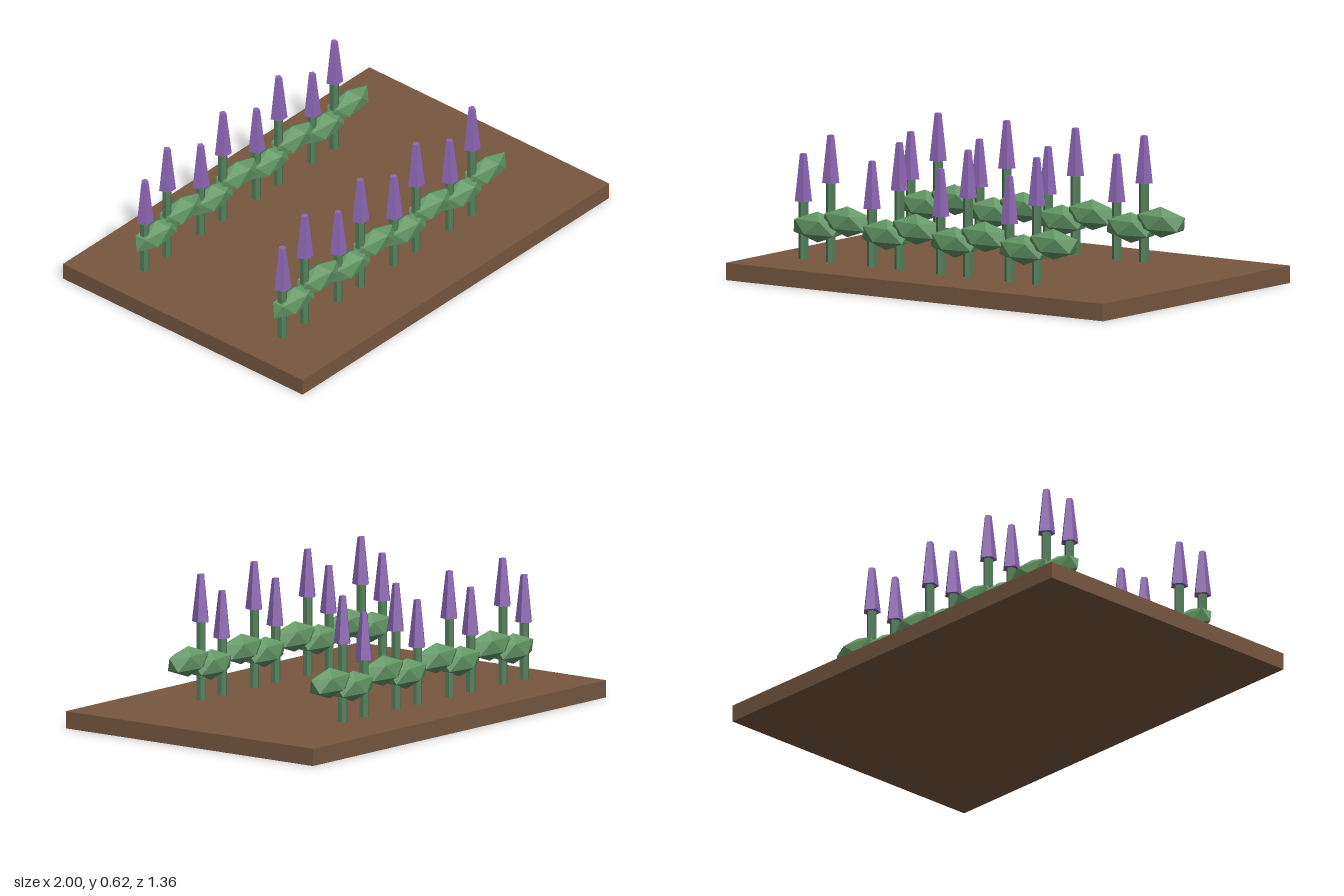
import * as THREE from 'three';

const material = (color) => new THREE.MeshStandardMaterial({ color, flatShading: true });

// Icosahedron standing on one corner, so its ends slope the same way on every leaf clump
function leafGeometry() {
  const g = new THREE.IcosahedronGeometry(1, 0);
  g.rotateZ(-Math.atan(2 / (1 + Math.sqrt(5))));
  g.scale(0.142, 0.067, 0.053);
  g.computeVertexNormals();
  return g;
}

export function createModel() {
  const model = new THREE.Group();
  model.name = 'flowerBed';

  const soil = material(0x785840);
  const stemGreen = material(0x54805a);
  const leafGreen = material(0x649866);
  const purple = material(0x8c66b4);

  const baseTop = 0.075;
  const leaves = leafGeometry();
  const blossom = new THREE.CylinderGeometry(0.016, 0.039, 0.205, 5).rotateY(Math.PI);

  function add(parent, name, geometry, mat, x, y, z) {
    const mesh = new THREE.Mesh(geometry, mat);
    mesh.name = name;
    mesh.position.set(x, y, z);
    parent.add(mesh);
  }

  // Soil slab
  add(model, 'soilBed', new THREE.BoxGeometry(2, baseTop, 1.36), soil, 0, baseTop / 2, 0);

  // A short and a tall plant make a pair
  const plants = [
    { name: 'shortPlant', x: -0.8, stemTop: 0.325, leafX: 0.075, leafY: 0.219 },
    { name: 'tallPlant', x: -0.655, stemTop: 0.418, leafX: 0.089, leafY: 0.256 },
  ].map((p) => ({
    ...p,
    stem: new THREE.CylinderGeometry(0.021, 0.021, p.stemTop - baseTop + 0.01, 6).rotateY(Math.PI),
  }));

  // Two rows of four pairs
  for (const z of [0.39, -0.39]) {
    const row = new THREE.Group();
    row.name = z > 0 ? 'frontRow' : 'backRow';
    row.position.z = z;
    model.add(row);
    for (let i = 0; i < 4; i++) {
      for (const p of plants) {
        const plant = new THREE.Group();
        plant.name = p.name;
        plant.position.x = p.x + i * 0.364;
        add(plant, 'stem', p.stem, stemGreen, 0, (p.stemTop + baseTop) / 2, 0);
        add(plant, 'leafClump', leaves, leafGreen, p.leafX, p.leafY, 0);
        add(plant, 'blossom', blossom, purple, 0, p.stemTop + 0.1025, 0);
        row.add(plant);
      }
    }
  }
  return model;
}
